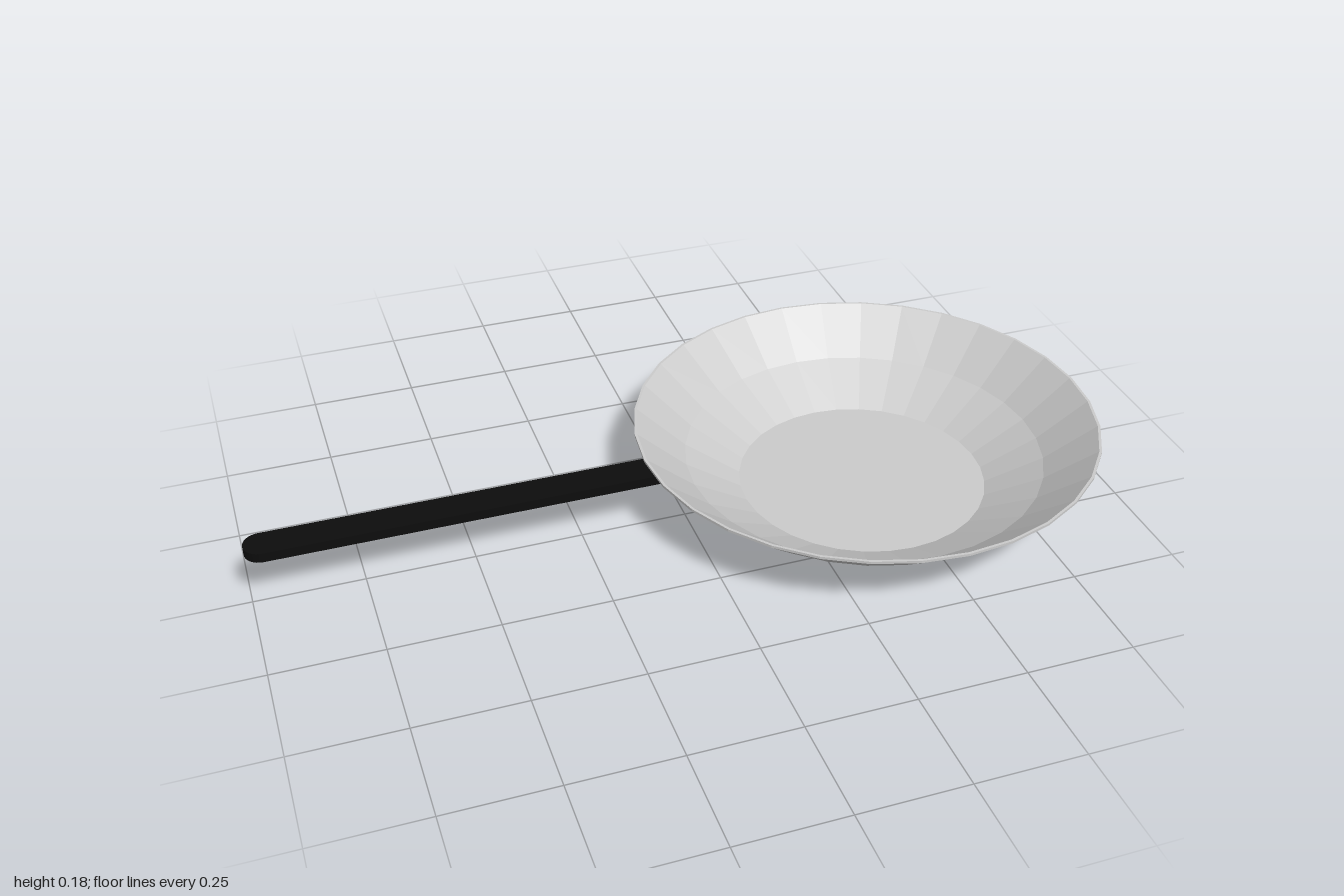
import * as THREE from 'three';

export function createModel() {
  const group = new THREE.Group();
  group.name = 'fryingPan';
  const centreX = 0.45;

  // Pan: thin closed shell, outside from the base up, over the rim and back down inside
  const profile = [
    [0, 0], [0.297, 0], [0.432, 0.074], [0.547, 0.17], [0.547, 0.176],
    [0.541, 0.176], [0.426, 0.08], [0.295, 0.006], [0, 0.006],
  ].map(([r, y]) => new THREE.Vector2(r, y));
  const pan = new THREE.Mesh(
    new THREE.LatheGeometry(profile, 32),
    new THREE.MeshStandardMaterial({ color: 0xcccccc, flatShading: true })
  );
  pan.name = 'pan';
  pan.position.x = centreX;
  group.add(pan);

  // Handle: flat bar with a rounded tip, its inner end slanted to meet the pan wall
  const halfWidth = 0.038, bottom = 0.13, thickness = 0.023, inner = -0.07;
  const outline = new THREE.Shape();
  outline.moveTo(inner, halfWidth);
  outline.lineTo(-1 + halfWidth, halfWidth);
  outline.absarc(-1 + halfWidth, 0, halfWidth, Math.PI / 2, Math.PI * 1.5, false);
  outline.lineTo(inner, -halfWidth);
  outline.closePath();
  const bar = new THREE.ExtrudeGeometry(outline, {
    depth: thickness, bevelEnabled: false, curveSegments: 8,
  });
  bar.rotateX(-Math.PI / 2).translate(0, bottom, 0);
  const pos = bar.attributes.position;
  for (let i = 0; i < pos.count; i++) {
    if (pos.getX(i) > inner - 0.01 && pos.getY(i) < bottom + 0.01) pos.setX(i, inner + 0.024);
  }
  bar.computeVertexNormals();
  const handle = new THREE.Mesh(
    bar, new THREE.MeshStandardMaterial({ color: 0x0d0d0d, flatShading: true })
  );
  handle.name = 'handle';
  group.add(handle);

  return group;
}
